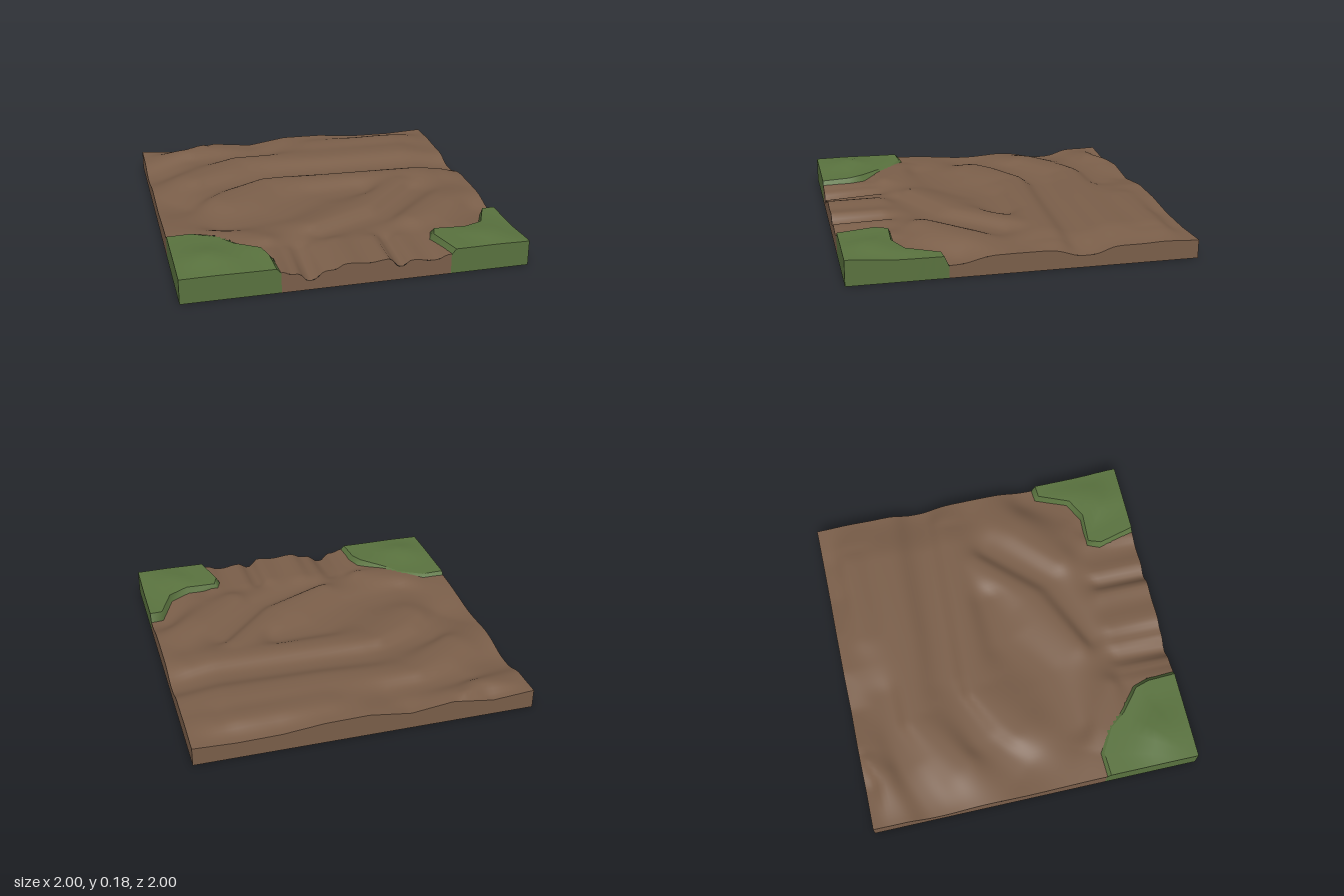
import * as THREE from 'three';

const { lerp, clamp, smoothstep } = THREE.MathUtils;
const dirtMat = new THREE.MeshStandardMaterial({ color: 0x7b5f4a, side: THREE.DoubleSide });
const grassMat = new THREE.MeshStandardMaterial({ color: 0x5a733f, side: THREE.DoubleSide });

// Crest and hollow lines of the soil, as [x, z] points
const crests = [
  [[-1, -0.86], [-0.7, -0.88], [-0.58, -0.96]],
  [[-0.72, -0.4], [-0.4, -0.64], [0.15, -0.59], [1, -0.58]],
  [[0.2, -0.82], [0.8, -0.82]],
  [[-0.6, -0.02], [-0.3, -0.24], [0.05, -0.21], [0.85, -0.17]],
  [[-0.15, 0.47], [0.25, 0.25], [0.55, -0.06]],
  [[0.45, 0.5], [0.95, 0.07]],
  [[-0.85, 0.42], [-0.45, 0.6]],
];
const hollows = [
  [[-1, -0.6], [-0.7, -0.74], [-0.2, -0.8]],
  [[-0.85, -0.05], [-0.62, -0.26], [-0.2, -0.38], [1, -0.34]],
  [[-0.65, 0.32], [-0.3, 0.24], [-0.02, 0.01], [0.28, -0.02]],
  [[-0.12, 0.57], [0.3, 0.41], [0.62, 0.06]],
  [[0.55, 0.75], [0.75, 0.66], [0.95, 0.42]],
];
// Ruts and banks running back from the front edge: [x, height at edge, height further in]
const ruts = [
  [-0.45, 0.125, 0.125], [-0.36, 0.105, 0.115], [-0.28, 0.055, 0.09], [-0.17, 0.105, 0.12], [-0.06, 0.135, 0.135],
  [0.16, 0.135, 0.135], [0.24, 0.08, 0.095], [0.31, 0.113, 0.12], [0.43, 0.097, 0.11], [0.54, 0.122, 0.12],
];
// Heights along the back edge at even steps
const backHeights = [0.115, 0.095, 0.13, 0.1, 0.135, 0.13, 0.105, 0.1, 0.11];

// Each line carries a height rule; crests and hollows sink toward the sides
const sunk = x => 0.036 * smoothstep(Math.abs(x), 0.7, 1);
const terrainLines = [
  ...crests.map(points => ({ points, y: x => 0.148 - sunk(x) })),
  ...hollows.map(points => ({ points, y: x => 0.106 - sunk(x) })),
  ...ruts.map(([x, edge, inner]) => ({ points: [[x, 1], [x, 0.7]], y: (_, z) => lerp(inner, edge, (z - 0.7) / 0.3) })),
  ...backHeights.slice(1).map((h, i) => ({
    points: [[-1 + i / 4, -1], [-0.75 + i / 4, -1]],
    y: x => lerp(backHeights[i], h, (x + 1) * 4 - i),
  })),
];

// Soil height: blend of all lines, weighted by closeness
function soilY(x, z) {
  let sum = 0, total = 0;
  for (const { points, y } of terrainLines) {
    let best = Infinity, height = 0;
    for (let i = 0; i + 1 < points.length; i++) {
      const [ax, az] = points[i], dx = points[i + 1][0] - ax, dz = points[i + 1][1] - az;
      const t = clamp(((x - ax) * dx + (z - az) * dz) / (dx * dx + dz * dz), 0, 1);
      const px = ax + t * dx, pz = az + t * dz, d = (x - px) ** 2 + (z - pz) ** 2;
      if (d < best) { best = d; height = y(px, pz); }
    }
    const w = (best + 0.0002) ** -1.3;
    sum += w * height;
    total += w;
  }
  return sum / total;
}

// Grid surface from point(i, j); cells may be skipped
function gridMesh(name, material, nu, nv, point, skip = () => false) {
  const pos = [], index = [];
  for (let j = 0; j <= nv; j++) for (let i = 0; i <= nu; i++) pos.push(...point(i, j));
  for (let j = 0; j < nv; j++) for (let i = 0; i < nu; i++) {
    const a = j * (nu + 1) + i, c = a + nu + 1;
    if (!skip([a, a + 1, c, c + 1].map(k => [pos[k * 3], pos[k * 3 + 2]]))) index.push(a, c, a + 1, a + 1, c, c + 1);
  }
  const geo = new THREE.BufferGeometry();
  geo.setAttribute('position', new THREE.Float32BufferAttribute(pos, 3));
  geo.setIndex(index);
  geo.computeVertexNormals();
  const mesh = new THREE.Mesh(geo, material);
  mesh.name = name;
  return mesh;
}

// Vertical wall under a surface edge
function wall(name, material, [x0, z0], [x1, z1], heightAt, n = 80) {
  return gridMesh(name, material, n, 1, (i, j) => {
    const x = lerp(x0, x1, i / n), z = lerp(z0, z1, i / n);
    return [x, j ? 0 : heightAt(x, z), z];
  });
}

// Grass corners: foot line and height of the top
const bump = (x, z, cx, cz, r) => Math.exp(-((x - cx) ** 2 + (z - cz) ** 2) / (r * r));
const patches = [
  {
    name: 'rightGrass', corner: [-1, 1],
    foot: [[-1, 0.43], [-0.85, 0.425], [-0.7, 0.51], [-0.62, 0.61], [-0.48, 0.73], [-0.45, 0.82], [-0.44, 1]],
    y: (x, z) => 0.148 + 0.03 * bump(x, z, -0.8, 0.79, 0.13) + 0.014 * bump(x, z, -0.5, 0.76, 0.08),
  },
  {
    name: 'leftGrass', corner: [1, 1],
    foot: [[1, 0.435], [0.92, 0.44], [0.83, 0.63], [0.7, 0.695], [0.51, 0.69], [0.48, 0.77], [0.535, 1]],
    y: (x, z) => 0.128 + 0.022 * smoothstep(z, 0.72, 1)
      + 0.03 * bump(x, z, 0.8, 0.8, 0.13) + 0.02 * bump(x, z, 0.52, 0.74, 0.15),
  },
];

function inside([x, z], poly) {
  let hit = false;
  poly.forEach(([ax, az], i) => {
    const [bx, bz] = poly[(i + 1) % poly.length];
    if ((az > z) !== (bz > z) && x < ax + (bx - ax) * (z - az) / (bz - az)) hit = !hit;
  });
  return hit;
}

function grassPatch({ name, corner, foot, y }) {
  const g = new THREE.Group();
  g.name = name;
  const [cx, cz] = corner, n = foot.length - 1, rings = 10;
  // rim: the foot line drawn in toward the tile corner
  const rim = foot.map(([x, z]) => {
    const t = 0.026 / Math.hypot(cx - x, cz - z);
    return [lerp(x, cx, t), lerp(z, cz, t)];
  });
  // column order keeps the top facing up on both sides
  const at = (list, i) => list[cx < 0 ? i : n - i];
  const footY = (x, z) => soilY(x, z) - 0.005;
  g.add(gridMesh(name + 'Top', grassMat, n, rings, (i, j) => {
    const [rx, rz] = at(rim, i), t = j / rings;
    const x = lerp(rx, cx, t), z = lerp(rz, cz, t);
    return [x, y(x, z), z];
  }));
  // sloped rim down to the soil
  g.add(gridMesh(name + 'Rim', grassMat, n, 1, (i, j) => {
    const [x, z] = at(j ? rim : foot, i);
    return [x, j ? y(x, z) : footY(x, z), z];
  }));
  // outer walls: a short sloped step at the rim, then the edge of the top
  for (const k of [0, n]) {
    const f = foot[k], r = rim[k], flip = (k === 0) === (cx < 0);
    const stepY = (x, z) => lerp(footY(...f), y(...r), Math.hypot(x - f[0], z - f[1]) / 0.026);
    for (const [a, b, h, steps] of [[f, r, stepY, 1], [r, corner, y, rings]]) {
      g.add(wall(name + 'Wall', grassMat, flip ? a : b, flip ? b : a, h, steps));
    }
  }
  return g;
}

export function createModel() {
  const model = new THREE.Group();
  model.name = 'terrainTile';

  // rolling soil, left open below the grass corners
  const N = 80;
  const covered = p => patches.some(({ corner, foot }) =>
    inside(p.map(v => clamp(v, -0.999, 0.999)), [...foot, corner]));
  model.add(gridMesh('soil', dirtMat, N, N, (i, j) => {
    const x = -1 + 2 * i / N, z = -1 + 2 * j / N;
    return [x, soilY(x, z), z];
  }, cell => cell.every(covered)));

  // soil walls between the grass corners
  const [a, b] = patches.map(p => p.foot);
  model.add(
    wall('frontSoilWall', dirtMat, a[a.length - 1], b[b.length - 1], soilY),
    wall('leftSoilWall', dirtMat, b[0], [1, -1], soilY),
    wall('backSoilWall', dirtMat, [1, -1], [-1, -1], soilY),
    wall('rightSoilWall', dirtMat, [-1, -1], a[0], soilY),
  );

  patches.forEach(p => model.add(grassPatch(p)));
  return model;
}
